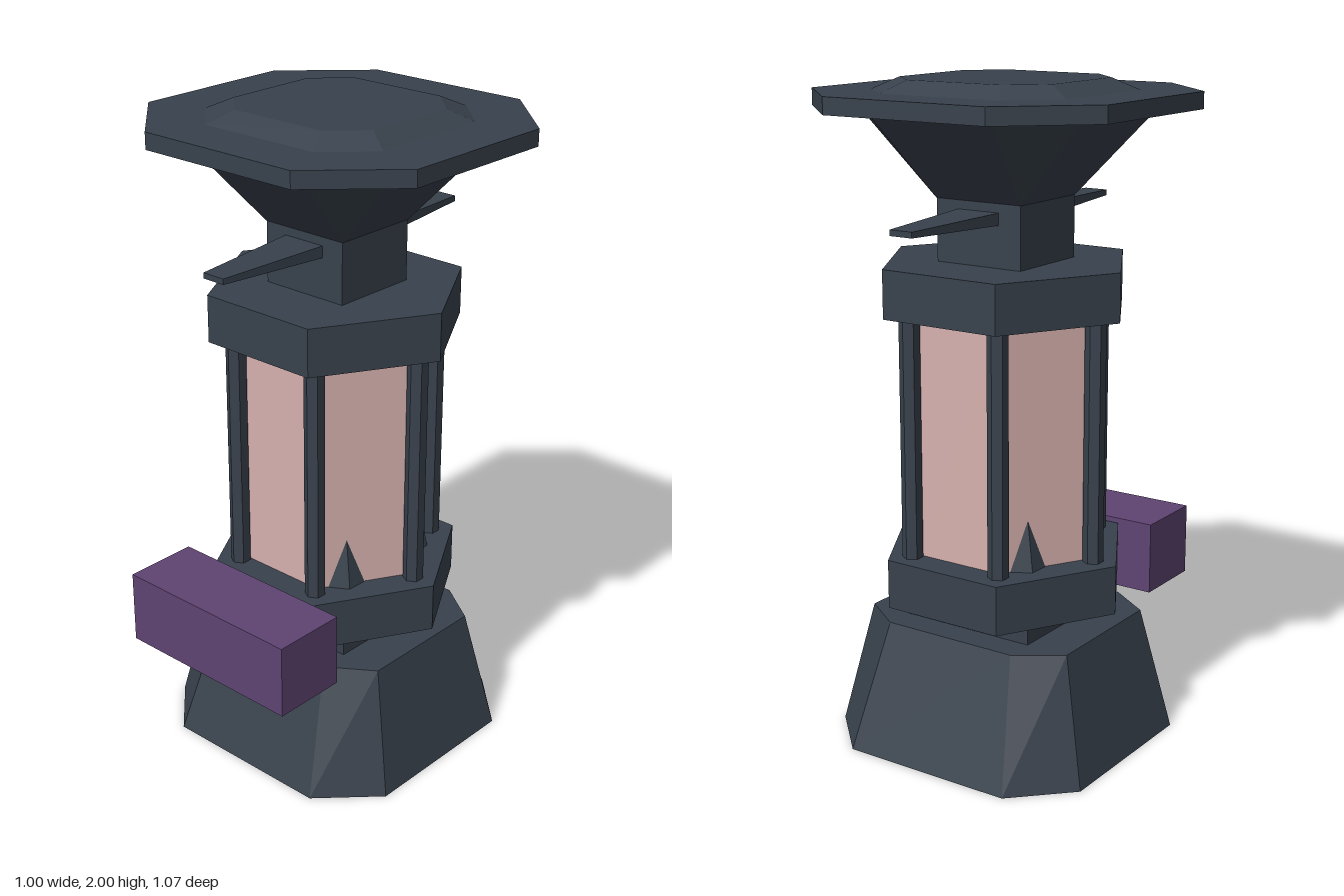
import * as THREE from 'three';

const CZ = -0.037; // the lantern body stands slightly behind the origin

// Ring of a chamfered rectangle: half sizes hx, hz; flat sides end at cx, cz
const oct = (y, hx, hz, cx, cz) => [
  [hx, -cz], [hx, cz], [cx, hz], [-cx, hz], [-hx, cz], [-hx, -cz], [-cx, -hz], [cx, -hz],
].map(([x, z]) => [x, y, z]);

// Closed, faceted solid through a stack of rings, bottom to top
function loft(rings) {
  const pos = [];
  const tri = (a, b, c) => pos.push(...a, ...b, ...c);
  const n = rings[0].length;
  for (let r = 0; r < rings.length - 1; r++) {
    for (let i = 0; i < n; i++) {
      const j = (i + 1) % n, lo = rings[r], hi = rings[r + 1];
      tri(lo[i], hi[i], lo[j]);
      tri(lo[j], hi[i], hi[j]);
    }
  }
  const bottom = rings[0], top = rings[rings.length - 1];
  for (let i = 1; i < n - 1; i++) {
    tri(bottom[0], bottom[i], bottom[i + 1]);
    tri(top[0], top[i + 1], top[i]);
  }
  const g = new THREE.BufferGeometry();
  g.setAttribute('position', new THREE.Float32BufferAttribute(pos, 3));
  g.computeVertexNormals();
  return g;
}

// Hexagonal prism with corners on the x axis, flat-faced
function hexPrism(radius, height) {
  const g = new THREE.CylinderGeometry(radius, radius, height, 6).rotateY(Math.PI / 6).toNonIndexed();
  g.computeVertexNormals();
  return g;
}

function createModel() {
  const iron = new THREE.MeshStandardMaterial({ color: 0x38414c });
  iron.name = 'darkIron';
  const pane = new THREE.MeshStandardMaterial({ color: 0xd6b1ae });
  pane.name = 'pinkGlass';
  const purple = new THREE.MeshStandardMaterial({ color: 0x5f4472 });
  purple.name = 'purple';

  const model = new THREE.Group();
  model.name = 'lantern';
  const add = (name, geometry, material, x, y, z) => {
    const m = new THREE.Mesh(geometry, material);
    m.name = name;
    m.position.set(x, y, z);
    model.add(m);
    return m;
  };

  // Tapered foot and the block above it
  add('foot', loft([
    oct(0, 0.44, 0.427, 0.276, 0.265),
    oct(0.385, 0.355, 0.302, 0.22, 0.21),
  ]), iron, 0, 0, CZ);
  add('footNeck', new THREE.BoxGeometry(0.44, 0.065, 0.425), iron, 0, 0.4175, CZ);

  // Hexagonal lamp housing
  add('lowerCollar', hexPrism(0.39, 0.15), iron, 0, 0.525, CZ);
  add('upperCollar', hexPrism(0.39, 0.145), iron, 0, 1.4025, CZ);
  add('glass', hexPrism(0.284, 0.73), pane, 0, 0.965, CZ);
  for (let i = 0; i < 6; i++) {
    const a = (i * Math.PI) / 3;
    const post = new THREE.CylinderGeometry(0.031, 0.031, 0.73, 6).toNonIndexed();
    post.computeVertexNormals();
    add('post', post, iron, Math.cos(a) * 0.31, 0.965, CZ + Math.sin(a) * 0.31);
  }

  // Small spikes leaning on the side panes
  for (const sx of [-1, 1]) {
    for (const sz of [-1, 1]) {
      const spike = new THREE.ConeGeometry(0.057, 0.15, 4).scale(0.55, 1, 1).toNonIndexed();
      spike.computeVertexNormals();
      add('spike', spike, iron, sx * 0.19, 0.675, CZ + sz * 0.167).rotation.y = -sx * sz * Math.PI / 6;
    }
  }

  // Neck with a tapered bar to the front and back
  add('neck', new THREE.BoxGeometry(0.29, 0.19, 0.282), iron, 0, 1.568, CZ);
  for (const s of [-1, 1]) {
    const bar = new THREE.BoxGeometry(0.15, 0.038, 0.4);
    const p = bar.attributes.position;
    for (let i = 0; i < p.count; i++) {
      if (p.getZ(i) * s > 0) p.setXY(i, p.getX(i) * 0.5, p.getY(i) * 0.45);
    }
    const flat = bar.toNonIndexed();
    flat.computeVertexNormals();
    add('crossBar', flat, iron, 0, 1.616, CZ + s * 0.298);
  }

  // Funnel from the square neck to the octagonal lid
  add('funnel', loft([
    oct(1.66, 0.147, 0.141, 0.147, 0.141),
    oct(1.917, 0.385, 0.374, 0.208, 0.2),
  ]), iron, 0, 0, CZ);
  add('lid', loft([
    oct(1.915, 0.5, 0.483, 0.27, 0.26),
    oct(1.965, 0.5, 0.483, 0.27, 0.26),
    oct(1.965, 0.332, 0.322, 0.2, 0.196),
    oct(2, 0.26, 0.25, 0.16, 0.153),
  ]), iron, 0, 0, CZ - 0.004);

  // Block on the front
  add('frontBlock', new THREE.BoxGeometry(0.62, 0.225, 0.233), purple, 0, 0.502, 0.4225);
  return model;
}

export { createModel };
